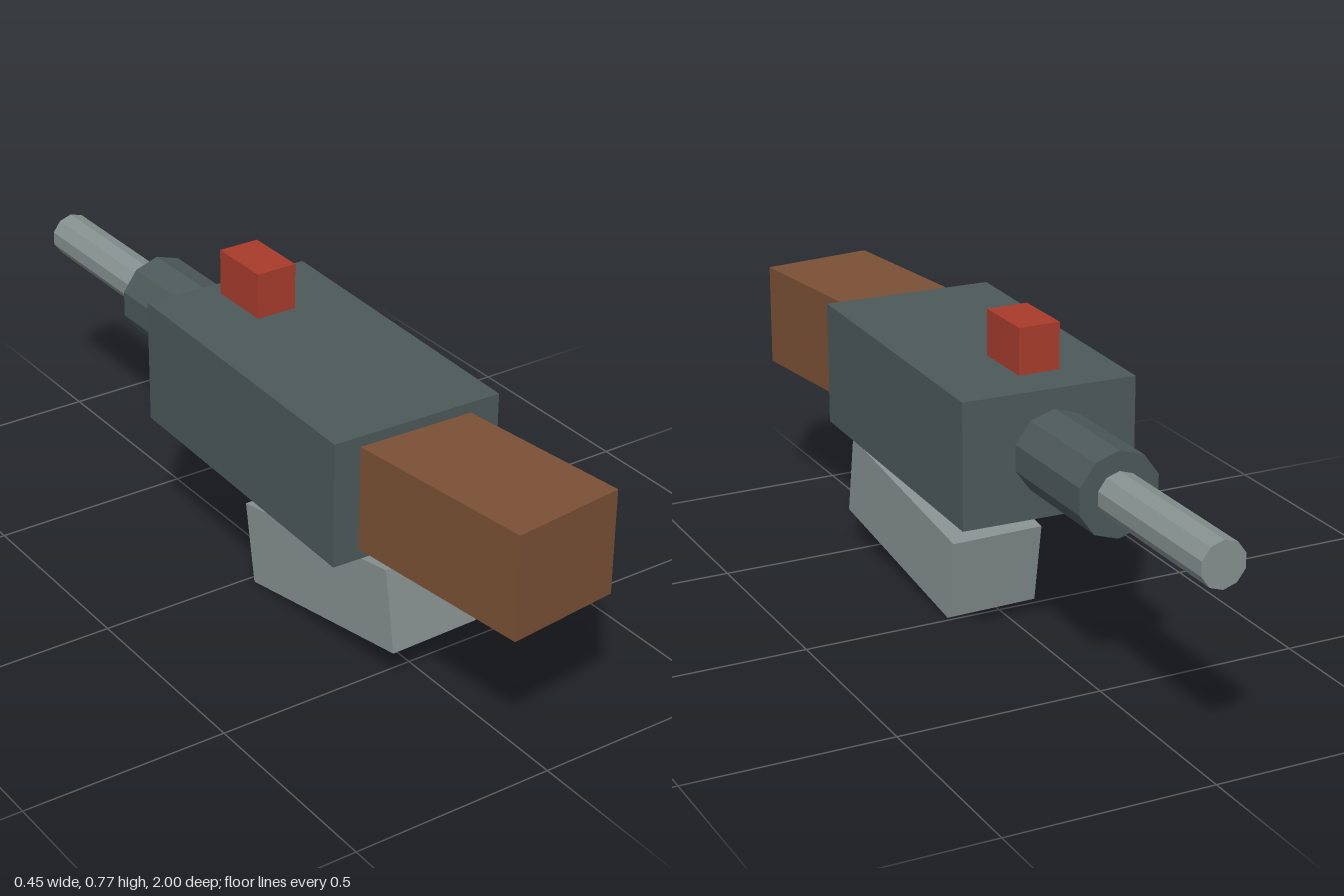
import * as THREE from 'three';

const paint = (color) => new THREE.MeshStandardMaterial({ color, flatShading: true });

export function createModel() {
  const model = new THREE.Group();
  const dark = paint(0x4d595a);
  const steel = paint(0x869190);
  const wood = paint(0x7a5035);
  const red = paint(0xa83c2c);

  function add(name, geometry, material, position, rotation = [0, 0, 0]) {
    const mesh = new THREE.Mesh(geometry, material);
    mesh.name = name;
    mesh.position.set(...position);
    mesh.rotation.set(...rotation, 'YXZ');
    model.add(mesh);
    return mesh;
  }
  const box = (w, h, d) => new THREE.BoxGeometry(w, h, d);

  // ten-sided rod lying along z between two depths
  function rod(name, radius, zFront, zBack, material) {
    const geometry = new THREE.CylinderGeometry(radius, radius, zFront - zBack, 10);
    add(name, geometry, material, [-0.001, 0.497, (zFront + zBack) / 2], [Math.PI / 2, 0, 0]);
  }

  // main housing, turned slightly
  add('body', box(0.429, 0.305, 0.8), dark, [-0.001, 0.4945, 0.127], [0, -0.03, 0]);

  // shoulder block, its inner end sunk into the body
  add('stock', box(0.285, 0.255, 0.5), wood, [0.007, 0.4945, 0.733], [0, 0.117, 0]);

  // stepped barrel
  rod('barrelSleeve', 0.102, -0.22, -0.57, dark);
  rod('barrel', 0.055, -0.52, -1, steel);

  // sight floating above the body
  add('sight', box(0.102, 0.112, 0.16), red, [0, 0.718, -0.12]);

  // tilted block under the body
  add('grip', box(0.236, 0.204, 0.548), steel, [0.02, 0.146, 0.27], [-0.162, 0.029, 0]);

  // ring joining the body and the grip
  add('ring', new THREE.TorusGeometry(0.09, 0.013, 4, 12), steel, [0, 0.319, 0.38], [0, 0.1, 0]);

  return model;
}
